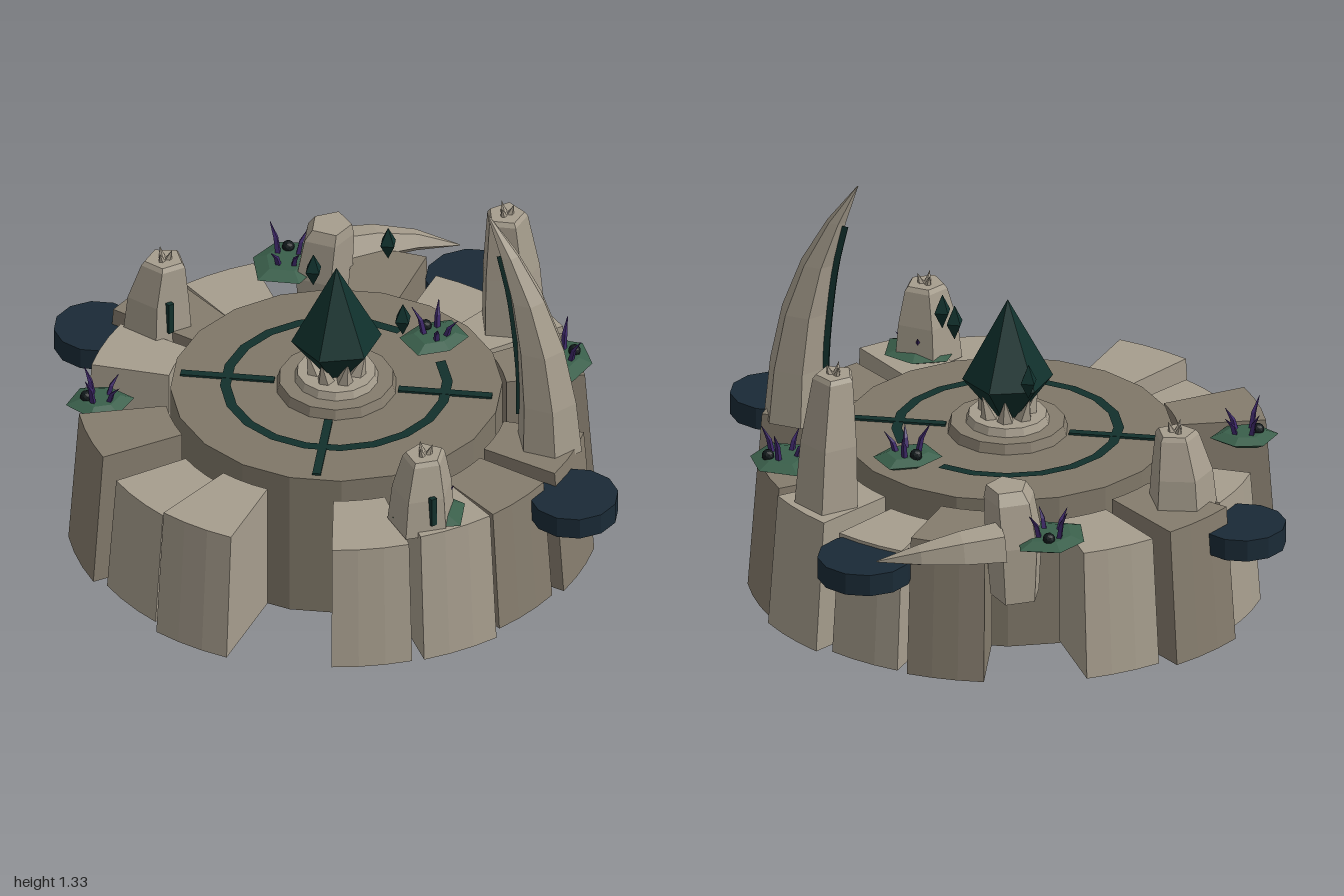
import * as THREE from 'three';

const mat = (color) => new THREE.MeshStandardMaterial({ color, flatShading: true });
const stone = mat(0xa69d8d), darkStone = mat(0x857c6d), drumStone = mat(0x7f7768);
const rune = mat(0x12302c), crystalMat = mat(0x0f302c), plateMat = mat(0x1a2a36);
const moss = mat(0x3a5f4b), purple = mat(0x3d2768), black = mat(0x10181a);
const CZ = 0.04; // centre of the ring in z

function add(parent, name, geometry, material, x = 0, y = 0, z = 0) {
  const m = new THREE.Mesh(geometry, material);
  m.name = name;
  m.position.set(x, y, z);
  parent.add(m);
  return m;
}

// Skin over horizontal polygon rings given as [x, y, z, radius], capped at both ends
function loft(rings, sides, turn = 0, wobble = 0) {
  const pos = [], idx = [];
  for (const [x, y, z, r] of rings) {
    for (let j = 0; j < sides; j++) {
      const t = turn + (j / sides) * Math.PI * 2;
      const k = r * (1 + wobble * Math.sin(j * 2.3 + turn));
      pos.push(x + Math.cos(t) * k, y, z + Math.sin(t) * k);
    }
  }
  const last = (rings.length - 1) * sides, base = pos.length / 3;
  pos.push(...rings[0].slice(0, 3), ...rings[rings.length - 1].slice(0, 3));
  for (let j = 0; j < sides; j++) {
    const k = (j + 1) % sides;
    for (let i = 0; i < last; i += sides) {
      idx.push(i + j, i + sides + j, i + k, i + k, i + sides + j, i + sides + k);
    }
    idx.push(base, j, k, base + 1, last + k, last + j);
  }
  const g = new THREE.BufferGeometry();
  g.setAttribute('position', new THREE.Float32BufferAttribute(pos, 3));
  g.setIndex(idx);
  g.computeVertexNormals();
  return g;
}

// Wedge of the outer ring, leaning inward towards the top
function blockGeometry(outer, height) {
  const half = 0.152, inner = 0.565, s = new THREE.Shape();
  for (let i = 0; i <= 3; i++) {
    const a = -half + (i / 3) * half * 2;
    s.lineTo(Math.sin(a) * outer, -Math.cos(a) * outer);
  }
  for (let i = 3; i >= 0; i--) {
    const a = -half + (i / 3) * half * 2;
    s.lineTo(Math.sin(a) * inner, -Math.cos(a) * inner);
  }
  s.curves.shift();
  const g = new THREE.ExtrudeGeometry(s, { depth: height, bevelEnabled: false });
  g.rotateX(-Math.PI / 2);
  const p = g.attributes.position;
  for (let i = 0; i < p.count; i++) {
    const r = Math.hypot(p.getX(i), p.getZ(i));
    if (p.getY(i) > 0.1 && r > 0.7) {
      p.setX(i, p.getX(i) * 0.96);
      p.setZ(i, p.getZ(i) * 0.96);
    }
  }
  g.computeVertexNormals();
  return g;
}

// Small cluster of pointed shards
function shards(parent, name, x, y, z, radius, count, h) {
  const g = new THREE.Group();
  g.name = name;
  g.position.set(x, y, z);
  for (let i = 0; i < count; i++) {
    const a = (i / count) * Math.PI * 2 + 0.4;
    const c = add(g, 'shard', new THREE.ConeGeometry(h * 0.32, h, 5), stone,
      Math.sin(a) * radius, h * 0.4, Math.cos(a) * radius);
    c.rotation.set(Math.cos(a) * 0.3, 0, -Math.sin(a) * 0.3);
  }
  parent.add(g);
}

// Patch of moss with purple blades and a dark pebble
function mossPatch(parent, x, y, z, r, turn) {
  const g = new THREE.Group();
  g.name = 'mossPatch';
  g.position.set(x, y, z);
  add(g, 'moss', loft([[0, -0.015, 0, r * 0.65], [0, 0.005, 0, r], [0, 0.022, 0, r * 0.6]], 6, turn, 0.15), moss);
  for (let i = 0; i < 4; i++) {
    const a = turn + i * 1.7, d = r * 0.35, h = 0.07 + 0.02 * (i % 3);
    const sx = Math.sin(a), sz = Math.cos(a);
    add(g, 'blade', loft([[0, 0, 0, 0.011], [sx * 0.012, h * 0.55, sz * 0.012, 0.009],
      [sx * 0.04, h, sz * 0.04, 0.001]], 4, a), purple, sx * d, 0.015, sz * d);
  }
  add(g, 'pebble', new THREE.IcosahedronGeometry(0.021, 1), black,
    Math.sin(turn + 2.6) * r * 0.45, 0.028, Math.cos(turn + 2.6) * r * 0.45);
  parent.add(g);
}

export function createModel() {
  const model = new THREE.Group();
  model.name = 'ruinedAltar';

  // Central drum and pedestal
  add(model, 'drum', new THREE.CylinderGeometry(0.545, 0.545, 0.53, 20), drumStone, 0, 0.265, CZ);
  add(model, 'pedestalLower', new THREE.CylinderGeometry(0.19, 0.2, 0.035, 14), darkStone, 0, 0.547, CZ);
  add(model, 'pedestalUpper', new THREE.CylinderGeometry(0.13, 0.14, 0.03, 14), stone, 0, 0.577, CZ);

  // Outer ring blocks: [angle in degrees, outer radius, top height]
  const blocks = [[0, 0.86, 0.43], [20, 0.9, 0.48], [60, 0.88, 0.465], [80, 0.885, 0.49], [100, 0.85, 0.46],
    [120, 0.87, 0.48], [160, 0.86, 0.48], [180, 0.885, 0.475], [200, 0.85, 0.44], [220, 0.86, 0.5],
    [260, 0.87, 0.46], [280, 0.915, 0.49], [300, 0.86, 0.475], [340, 0.89, 0.51]];
  blocks.forEach(([deg, outer, top], i) => {
    const dark = [100, 120, 160, 220, 280, 340].includes(deg);
    const b = add(model, 'ringBlock' + (i + 1), blockGeometry(outer, top - 0.02), dark ? darkStone : stone, 0, 0.02, CZ);
    b.rotation.y = THREE.MathUtils.degToRad(deg);
  });

  // Inlaid rune ring, open at the back, and three diagonal lines
  const arc = new THREE.RingGeometry(0.347, 0.382, 18, 1, Math.PI / 2 + 0.3, Math.PI * 2 - 0.6);
  arc.rotateX(-Math.PI / 2);
  add(model, 'runeRing', arc, rune, 0, 0.536, CZ);
  for (const a of [45, 135, 315]) {
    const t = THREE.MathUtils.degToRad(a);
    const line = add(model, 'runeLine', new THREE.BoxGeometry(0.028, 0.012, 0.31), rune,
      Math.sin(t) * 0.36, 0.531, CZ + Math.cos(t) * 0.36);
    line.rotation.y = t;
  }

  // Large crystal with a collar of shards, and floating crystals
  add(model, 'crystal', loft([[0, 0.585, 0, 0.045], [0, 0.72, 0, 0.15], [0, 1, 0, 0.001]], 6), crystalMat, 0, 0, CZ);
  shards(model, 'crystalCollar', 0, 0.59, CZ, 0.085, 7, 0.1);
  for (const [x, y, z] of [[-0.24, 0.82, -0.05], [0.24, 0.89, -0.05], [-0.02, 0.99, -0.19]]) {
    add(model, 'floatingCrystal', loft([[0, -0.06, 0, 0.001], [0, 0, 0, 0.032], [0, 0.06, 0, 0.001]], 4), crystalMat, x, y, z);
  }

  // Curved standing horn with a rune strip on its inner side
  add(model, 'horn', loft([[0.615, 0.46, -0.37, 0.112], [0.61, 0.65, -0.365, 0.1], [0.588, 0.85, -0.352, 0.083],
    [0.55, 1.03, -0.327, 0.06], [0.495, 1.19, -0.293, 0.033], [0.43, 1.33, -0.255, 0.002]], 6, 0.5), stone);
  const strip = new THREE.CatmullRomCurve3([[0.522, 0.56, -0.315], [0.522, 0.7, -0.315], [0.513, 0.85, -0.308],
    [0.495, 1.03, -0.295], [0.467, 1.18, -0.277]].map((p) => new THREE.Vector3(...p)));
  add(model, 'hornRune', new THREE.TubeGeometry(strip, 10, 0.014, 4), rune);

  // Standing pillars topped with shards: [x, z, base, top, lean x, lean z]
  const pillars = [[0, -0.685, 0.46, 0.925, 0.01, 0.03], [0.71, 0.235, 0.47, 0.735, 0, -0.01],
    [-0.7, 0.235, 0.45, 0.735, 0.015, -0.01]];
  pillars.forEach(([x, z, y0, y1, lx, lz], i) => {
    const h = y1 - y0;
    add(model, 'pillar' + (i + 1), loft([[x, y0, z, 0.115], [x, y0 + h * 0.5, z + lz * 0.3, 0.102],
      [x + lx, y1 - 0.015, z + lz, 0.073], [x + lx, y1, z + lz, 0.062]], 5, i * 0.9 + 0.2, 0.06), stone);
    shards(model, 'pillarShards' + (i + 1), x + lx, y1 - 0.005, z + lz, 0.02, 3, 0.045);
    add(model, 'pillarRune' + (i + 1), new THREE.BoxGeometry(0.018, h * 0.4, 0.02), rune, x + 0.085, y0 + h * 0.35, z + 0.02);
  });

  // Broken stump with its fallen tip lying beside it
  add(model, 'brokenStump', loft([[-0.61, 0.28, -0.37, 0.085], [-0.605, 0.48, -0.37, 0.1],
    [-0.59, 0.63, -0.38, 0.088], [-0.58, 0.67, -0.385, 0.07]], 5, 0.4, 0.06), stone);
  const fallen = add(model, 'fallenTip', loft([[0, 0, 0, 0.075], [-0.015, 0.14, 0, 0.062],
    [-0.012, 0.28, 0, 0.037], [0.02, 0.42, 0, 0.002]], 5, 0.3), stone, -0.645, 0.5, -0.45);
  fallen.quaternion.setFromUnitVectors(new THREE.Vector3(0, 1, 0), new THREE.Vector3(0.42, -0.06, -0.9).normalize());

  // Dark round plates around the rim
  for (const [x, z, r] of [[0.853, -0.285, 0.147], [-0.857, 0.37, 0.143], [-0.327, -0.778, 0.157]]) {
    add(model, 'rimPlate', new THREE.CylinderGeometry(r, r, 0.075, 12), plateMat, x, 0.392, z);
  }

  // Moss patches
  mossPatch(model, 0.3, 0.495, -0.65, 0.125, 0.3);
  mossPatch(model, -0.69, 0.49, -0.29, 0.125, 1.4);
  mossPatch(model, 0, 0.54, -0.37, 0.105, 2.2);
  mossPatch(model, -0.44, 0.49, 0.68, 0.1, 3.1);
  mossPatch(model, 0.71, 0.49, 0.2, 0.12, 4.0);
  return model;
}
